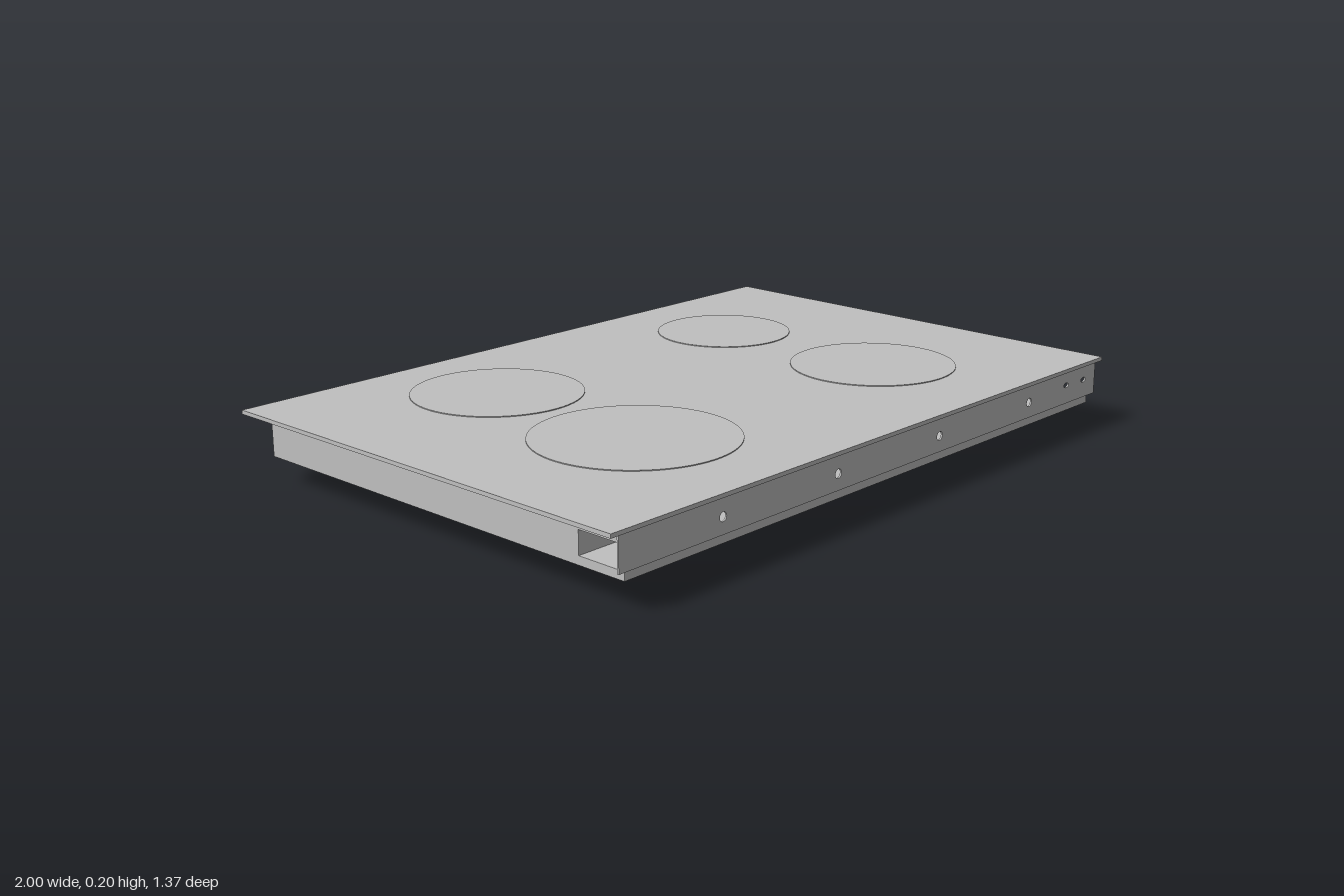
import * as THREE from 'three';

export function createModel() {
  const model = new THREE.Group();
  model.name = 'cooktop';
  const steel = new THREE.MeshStandardMaterial({ color: 0xc0c0c0 });
  steel.name = 'light grey';

  const add = (name, geometry, x = 0, y = 0, z = 0) => {
    const mesh = new THREE.Mesh(geometry, steel);
    mesh.name = name;
    mesh.position.set(x, y, z);
    model.add(mesh);
    return mesh;
  };

  // Overhanging worktop plate
  add('topPlate', new THREE.BoxGeometry(2, 0.011, 1.366), 0, 0.1955, 0);

  // Four slightly raised cooking zones: x, z, radius
  const zones = [
    [-0.435, -0.32, 0.236],
    [0.485, -0.325, 0.2],
    [-0.47, 0.235, 0.272],
    [0.485, 0.245, 0.235],
  ];
  for (const [x, z, r] of zones) {
    add('cookingZone', new THREE.CylinderGeometry(r, r, 0.003, 64), x, 0.202, z);
  }

  // Housing: side profile with a channel along the front, swept across the width
  const profile = [
    [-0.63, 0.073], [0.67, 0.073], [0.67, 0.096], [0.527, 0.096],
    [0.527, 0.158], [0.674, 0.158], [0.674, 0.19], [-0.63, 0.19],
  ].map(([z, y]) => new THREE.Vector2(-z, y));
  const housing = new THREE.ExtrudeGeometry(new THREE.Shape(profile), { depth: 1.894, bevelEnabled: false });
  housing.translate(0, 0, -0.947).rotateY(Math.PI / 2);
  add('housing', housing);

  // Thin front panel, wider than the housing, pierced by screw holes
  const panel = new THREE.Shape([
    new THREE.Vector2(-0.972, 0.098), new THREE.Vector2(0.972, 0.098),
    new THREE.Vector2(0.972, 0.19), new THREE.Vector2(-0.972, 0.19),
  ]);
  const holes = [
    [-0.635, 0.142, 0.012, 0.012], [-0.214, 0.142, 0.012, 0.012],
    [0.208, 0.142, 0.012, 0.012], [0.63, 0.142, 0.012, 0.012],
    [0.82, 0.152, 0.012, 0.007], [0.91, 0.15, 0.012, 0.007],
  ];
  for (const [x, y, rx, ry] of holes) {
    const hole = new THREE.Path();
    hole.absellipse(x, y, rx, ry, 0, Math.PI * 2, true);
    panel.holes.push(hole);
  }
  add('frontPanel', new THREE.ExtrudeGeometry(panel, { depth: 0.005, bevelEnabled: false }), 0, 0, 0.673);

  // Cable outlet under the housing: half-sunk barrel, flange and mounting tab
  const disc = (name, r, z0, z1) => {
    const geometry = new THREE.CylinderGeometry(r, r, z1 - z0, 48).rotateX(Math.PI / 2);
    add(name, geometry, 0, 0.073, (z0 + z1) / 2);
  };
  disc('outletBarrel', 0.054, 0.015, 0.073);
  disc('outletFlange', 0.073, 0.002, 0.017);
  add('outletTab', new THREE.BoxGeometry(0.1, 0.008, 0.037), 0, 0.07, -0.0165);

  return model;
}
